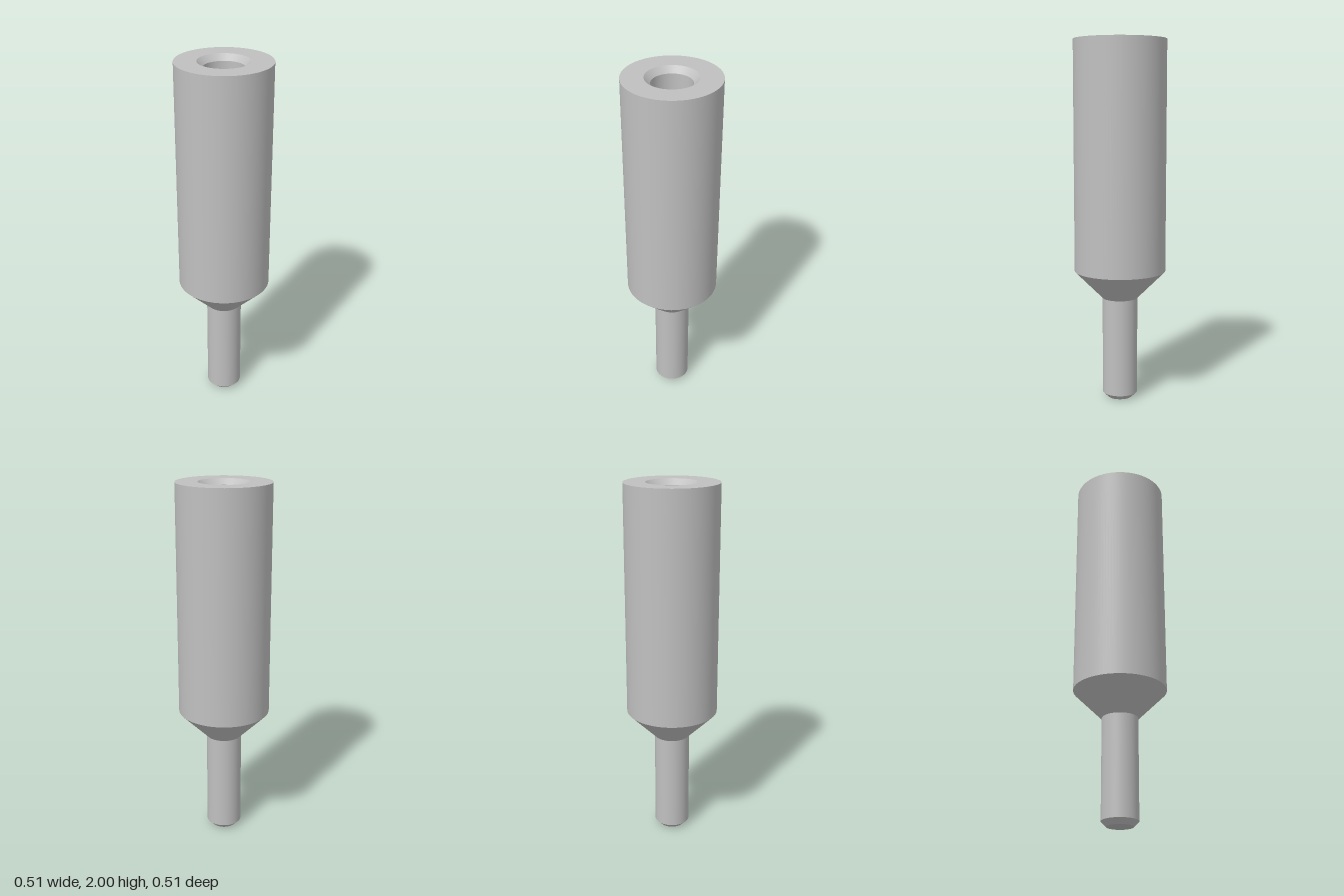
import * as THREE from 'three';

export function createModel() {
  const group = new THREE.Group();
  group.name = 'threadedStandoff';
  const steel = new THREE.MeshStandardMaterial({ color: 0xc0c0c0 });
  steel.name = 'steel grey';

  // Profile as [radius, height], from the stud tip, around the body and into the bore
  const profile = [
    [0, 0], [0.07, 0], [0.098, 0.028], [0.098, 0.576], [0.254, 0.732],
    [0.254, 2], [0.137, 2], [0.106, 1.969], [0.106, 1.37], [0, 1.37],
  ];
  const names = [
    'studTip', 'studChamfer', 'stud', 'shoulderCone', 'body',
    'topFace', 'boreChamfer', 'boreWall', 'boreFloor',
  ];

  // One lathe per band keeps the edges sharp and each band smooth
  names.forEach((name, i) => {
    const points = [profile[i], profile[i + 1]].map(([r, y]) => new THREE.Vector2(r, y));
    const mesh = new THREE.Mesh(new THREE.LatheGeometry(points, 96), steel);
    mesh.name = name;
    group.add(mesh);
  });
  return group;
}
